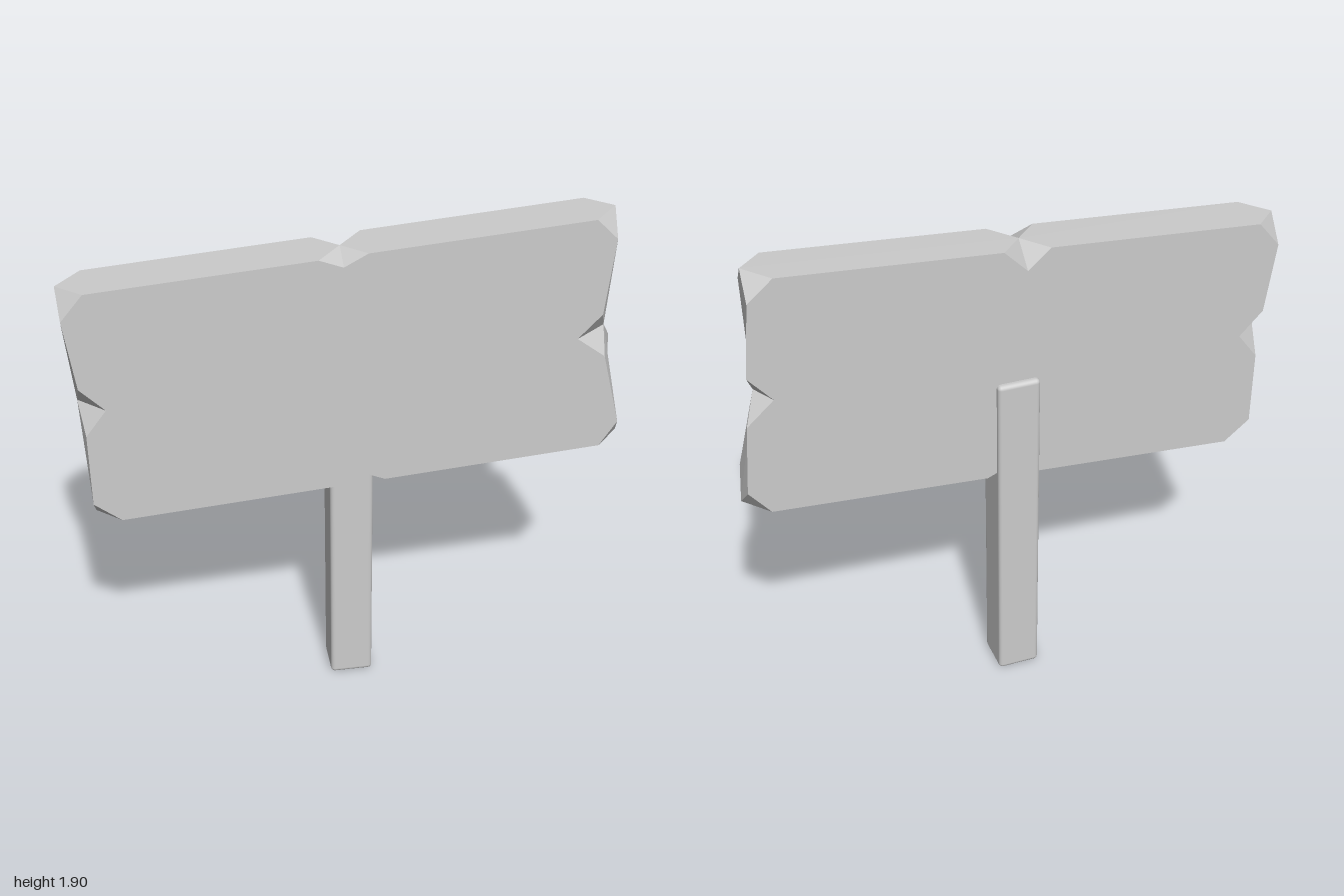
import * as THREE from 'three';
import { RoundedBoxGeometry } from 'three/addons/geometries/RoundedBoxGeometry.js';

const FRONT = 0.1, MID = 0.01, BACK = -0.08;

// Board corners on the middle plane, counter-clockwise from lower left
const corners = [[-0.93, 0.84], [1, 0.99], [0.925, 1.905], [-1, 1.755]];

// Each edge: outline of the face (start, chip start, chip tip, chip end, end)
// and the point on the middle plane where the chip's facets meet
const bottom = [[-0.84, 0.847], [-0.05, 0.908], [0.035, 0.955], [0.115, 0.921], [0.912, 0.983]];
const top = [[0.838, 1.898], [0.05, 1.836], [-0.035, 1.79], [-0.12, 1.823], [-0.91, 1.762]];
const topBack = top.map((p, i) => (i === 2 ? [-0.035, 1.75] : p));
const left = [[-0.99, 1.665], [-0.953, 1.4], [-0.865, 1.31], [-0.94, 1.21], [-0.937, 0.925]];
const right = [[0.975, 1.08], [0.905, 1.36], [0.8, 1.44], [0.885, 1.53], [0.915, 1.82]];
const rightBack = [[0.99, 1.08], [0.97, 1.35], [0.87, 1.44], [0.955, 1.54], [0.93, 1.82]];
const chipMids = [[0.035, 0.935], [0.92, 1.44], [-0.035, 1.83], [-0.96, 1.31]];

// One half of the board: the flat face, its chipped rim and cut corners
function addHalf(positions, edges, z) {
  const tri = (a, b, c) => {
    const order = z > MID ? [a, b, c] : [a, c, b];
    order.forEach((p) => positions.push(p[0], p[1], p[2]));
  };
  const face = (p) => [p[0], p[1], z];
  const mid = (p) => [p[0], p[1], MID];

  const outline = edges.flat();
  const points = outline.map((p) => new THREE.Vector2(p[0], p[1]));
  for (const [a, b, c] of THREE.ShapeUtils.triangulateShape(points, [])) {
    tri(face(outline[a]), face(outline[b]), face(outline[c]));
  }

  edges.forEach((edge, i) => {
    const [a, b, tip, c, d] = edge.map(face);
    const k0 = mid(corners[i]);
    const k1 = mid(corners[(i + 1) % 4]);
    const m = mid(chipMids[i]);
    const next = face(edges[(i + 1) % 4][0]);
    tri(k0, m, a);
    tri(a, m, b);
    tri(b, m, tip);
    tri(tip, m, c);
    tri(c, m, d);
    tri(d, m, k1);
    tri(d, k1, next); // cut corner
  });
}

export function createModel() {
  const group = new THREE.Group();

  // Tilted board with chipped edges
  const positions = [];
  addHalf(positions, [bottom, right, top, left], FRONT);
  addHalf(positions, [bottom, rightBack, topBack, left], BACK);
  const boardGeometry = new THREE.BufferGeometry();
  boardGeometry.setAttribute('position', new THREE.Float32BufferAttribute(positions, 3));
  boardGeometry.computeVertexNormals();
  const board = new THREE.Mesh(
    boardGeometry,
    new THREE.MeshStandardMaterial({ color: 0xcccccc, flatShading: true })
  );
  board.name = 'signBoard';
  group.add(board);

  // Upright post, standing slightly proud of the board's back
  const post = new THREE.Mesh(
    new RoundedBoxGeometry(0.16, 1.315, 0.16, 3, 0.016),
    new THREE.MeshStandardMaterial({ color: 0xcccccc })
  );
  post.position.set(0, 1.315 / 2, -0.022);
  post.name = 'post';
  group.add(post);

  return group;
}
